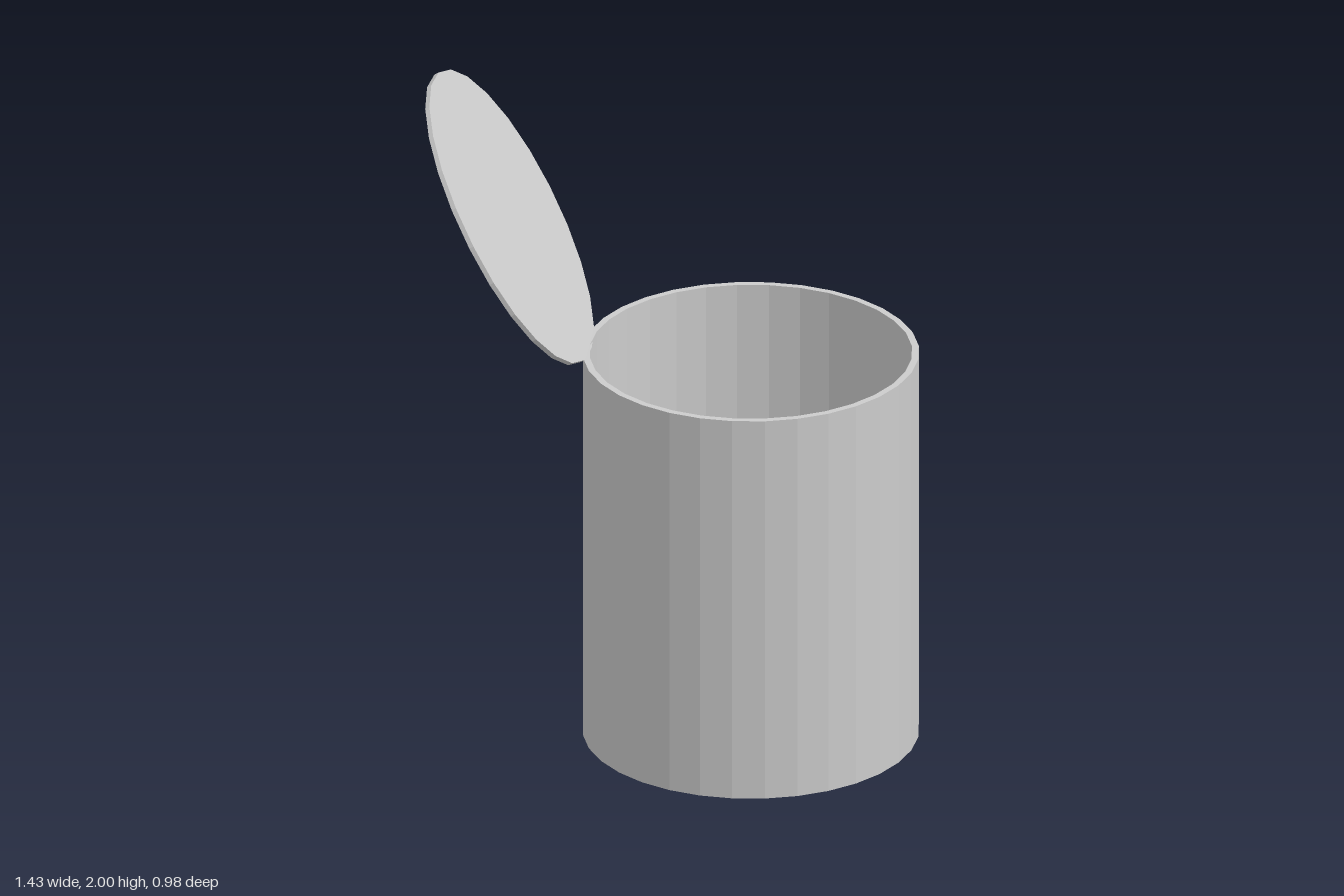
import * as THREE from 'three';

export function createModel() {
  const group = new THREE.Group();
  const material = new THREE.MeshStandardMaterial({ color: 0xcccccc, flatShading: true });

  // Open container: closed wall profile with a thin floor
  const radius = 0.488, height = 1.2, wall = 0.02;
  const profile = [
    [0, 0], [radius, 0], [radius, height],
    [radius - wall, height], [radius - wall, wall], [0, wall],
  ].map(([x, y]) => new THREE.Vector2(x, y));
  const container = new THREE.Mesh(new THREE.LatheGeometry(profile, 32), material);
  container.name = 'container';
  container.position.x = 0.227;
  group.add(container);

  // Round lid, swung open at the right rim
  const lid = new THREE.Mesh(new THREE.CylinderGeometry(0.468, 0.468, 0.014, 24), material);
  lid.name = 'lid';
  lid.position.set(-0.476, 1.592, 0);
  lid.rotation.z = -Math.PI / 3;
  group.add(lid);

  return group;
}
